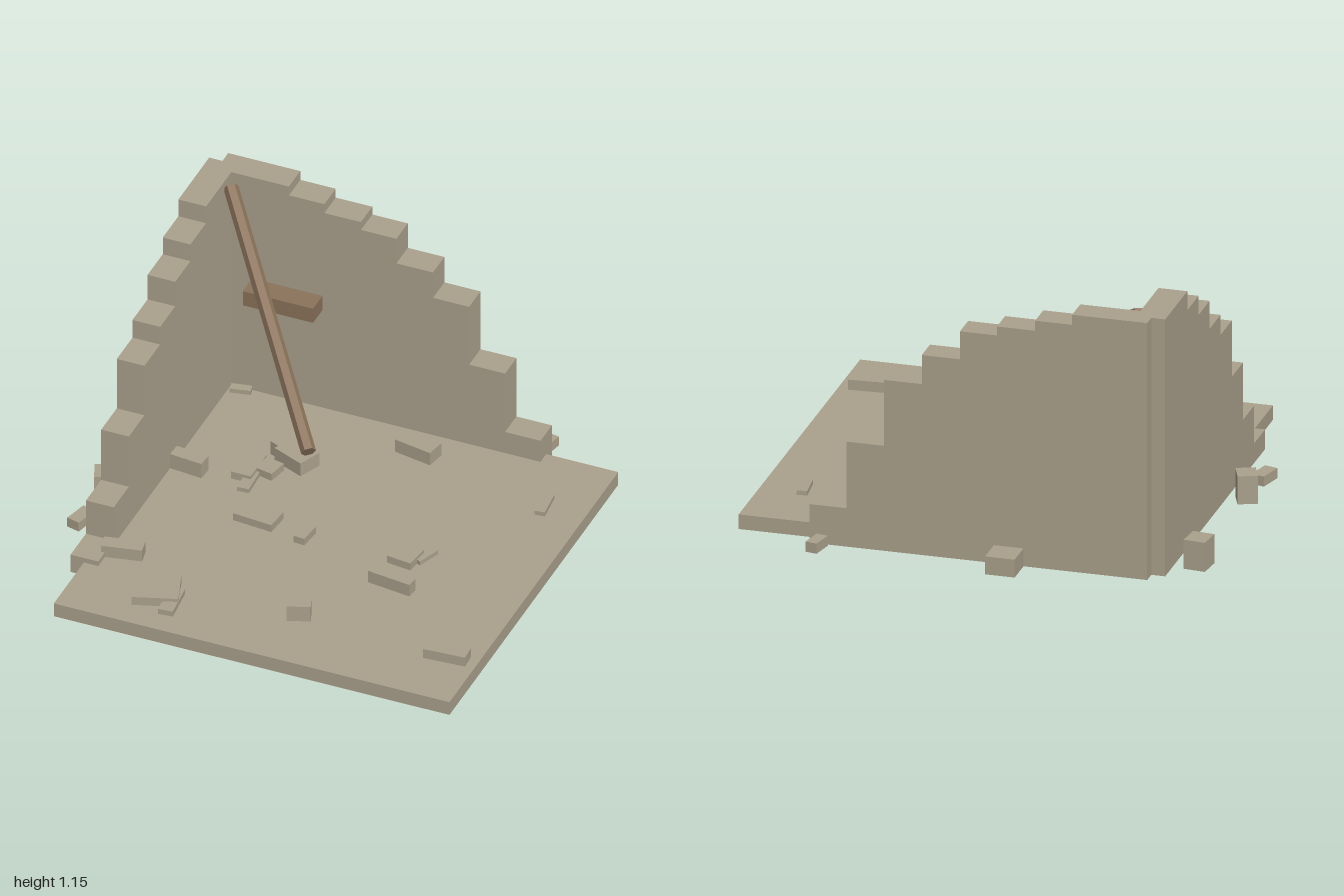
import * as THREE from 'three';

export function createModel() {
  const model = new THREE.Group();
  const stone = new THREE.MeshStandardMaterial({ color: 0xaba18c });
  stone.name = 'stone';
  const wood = new THREE.MeshStandardMaterial({ color: 0x8b735b });
  wood.name = 'wood';
  const FLOOR = 0.065;

  const add = (name, geometry, material, parent = model) => {
    const mesh = new THREE.Mesh(geometry, material);
    mesh.name = name;
    parent.add(mesh);
    return mesh;
  };

  // Box given by its minimum and maximum corners
  const block = (name, [x0, y0, z0], [x1, y1, z1], material) => {
    const mesh = add(name, new THREE.BoxGeometry(x1 - x0, y1 - y0, z1 - z0), material);
    mesh.position.set((x0 + x1) / 2, (y0 + y1) / 2, (z0 + z1) / 2);
    return mesh;
  };

  // Stepped wall outline from [end, height] pairs, extruded to its thickness
  const steppedWall = (name, start, steps, thickness) => {
    const shape = new THREE.Shape();
    shape.moveTo(start, 0);
    let from = start;
    for (const [end, height] of steps) {
      shape.lineTo(from, height);
      shape.lineTo(end, height);
      from = end;
    }
    shape.lineTo(from, 0);
    const geometry = new THREE.ExtrudeGeometry(shape, { depth: thickness, bevelEnabled: false });
    return add(name, geometry, stone);
  };

  block('floorSlab', [-0.785, 0, -0.8], [1, FLOOR, 0.98], stone);

  const backWall = steppedWall('backWall', -0.785, [
    [-0.46, 1.15], [-0.3, 1.105], [-0.135, 1.06], [0.025, 1.02],
    [0.19, 0.895], [0.353, 0.765], [0.515, 0.47], [0.675, 0.172],
  ], 0.12);
  backWall.position.z = -0.86;

  // Side wall is drawn along x and turned to run towards the front
  const sideWall = steppedWall('sideWall', -0.8, [
    [-0.475, 1.15], [-0.31, 1.065], [-0.15, 0.98], [0.01, 0.855],
    [0.175, 0.765], [0.34, 0.513], [0.5, 0.257], [0.663, 0.088],
  ], 0.125);
  sideWall.rotation.y = -Math.PI / 2;
  sideWall.position.x = -0.72;

  block('fallenBlockBehind', [-0.25, 0, -0.99], [-0.122, 0.08, -0.86], stone);
  block('shelfBeam', [-0.625, 0.563, -0.745], [-0.308, 0.635, -0.64], wood);

  // Fallen hexagonal roof beam leaning into the corner
  const top = new THREE.Vector3(-0.7, 1.112, -0.69);
  const foot = new THREE.Vector3(0.02, 0.535, 0.175);
  const direction = top.clone().sub(foot);
  const beamGeometry = new THREE.CylinderGeometry(0.032, 0.032, direction.length(), 6).toNonIndexed();
  beamGeometry.computeVertexNormals();
  const beam = add('leaningBeam', beamGeometry, wood);
  beam.position.copy(top).add(foot).multiplyScalar(0.5);
  beam.quaternion.setFromUnitVectors(new THREE.Vector3(0, 1, 0), direction.normalize());

  // Rubble: x, z, width, depth, turn, top height
  const scatter = (name, base, pieces) => {
    const group = new THREE.Group();
    group.name = name;
    model.add(group);
    for (const [x, z, w, d, turn, height] of pieces) {
      const piece = add('rubbleStone', new THREE.BoxGeometry(w, height - base, d), stone, group);
      piece.position.set(x, (base + height) / 2, z);
      piece.rotation.y = turn;
    }
  };

  scatter('floorRubble', FLOOR, [
    [0.185, -0.595, 0.175, 0.085, -0.19, 0.127],
    [0.815, -0.455, 0.045, 0.135, 0.1, 0.085],
    [-0.645, -0.12, 0.15, 0.065, -0.1, 0.137],
    [-0.24, 0.097, 0.18, 0.107, -0.09, 0.1],
    [0.433, 0.118, 0.113, 0.115, -0.12, 0.1],
    [0.505, 0.075, 0.04, 0.11, -0.35, 0.085],
    [0.455, 0.315, 0.2, 0.052, -0.13, 0.123],
    [0.185, 0.66, 0.1, 0.077, 0.35, 0.138],
    [0.865, 0.69, 0.185, 0.075, 0.06, 0.11],
    [-0.658, 0.545, 0.175, 0.068, 0.2, 0.12],
    [-0.42, 0.75, 0.195, 0.17, 0.33, 0.105],
    [-0.335, 0.79, 0.065, 0.17, 0.1, 0.09],
  ]);

  scatter('rubblePile', FLOOR, [
    [-0.31, -0.41, 0.075, 0.16, -0.42, 0.13],
    [-0.25, -0.335, 0.155, 0.11, -0.4, 0.13],
    [-0.24, -0.38, 0.05, 0.06, 0.1, 0.1],
    [-0.415, -0.21, 0.09, 0.165, 0, 0.1],
    [-0.38, -0.14, 0.053, 0.165, 0.05, 0.085],
    [-0.33, -0.23, 0.085, 0.09, -0.2, 0.1],
    [-0.012, 0.14, 0.05, 0.1, -0.1, 0.098],
    [-0.665, -0.715, 0.09, 0.04, 0.2, 0.085],
  ]);

  scatter('outerRubble', 0, [
    [-0.947, -0.65, 0.095, 0.105, -0.1, 0.13],
    [-0.93, 0.105, 0.085, 0.095, 0.38, 0.125],
    [-0.942, 0.325, 0.06, 0.11, -0.25, 0.045],
    [0.628, -0.917, 0.052, 0.1, -0.2, 0.045],
  ]);

  return model;
}
